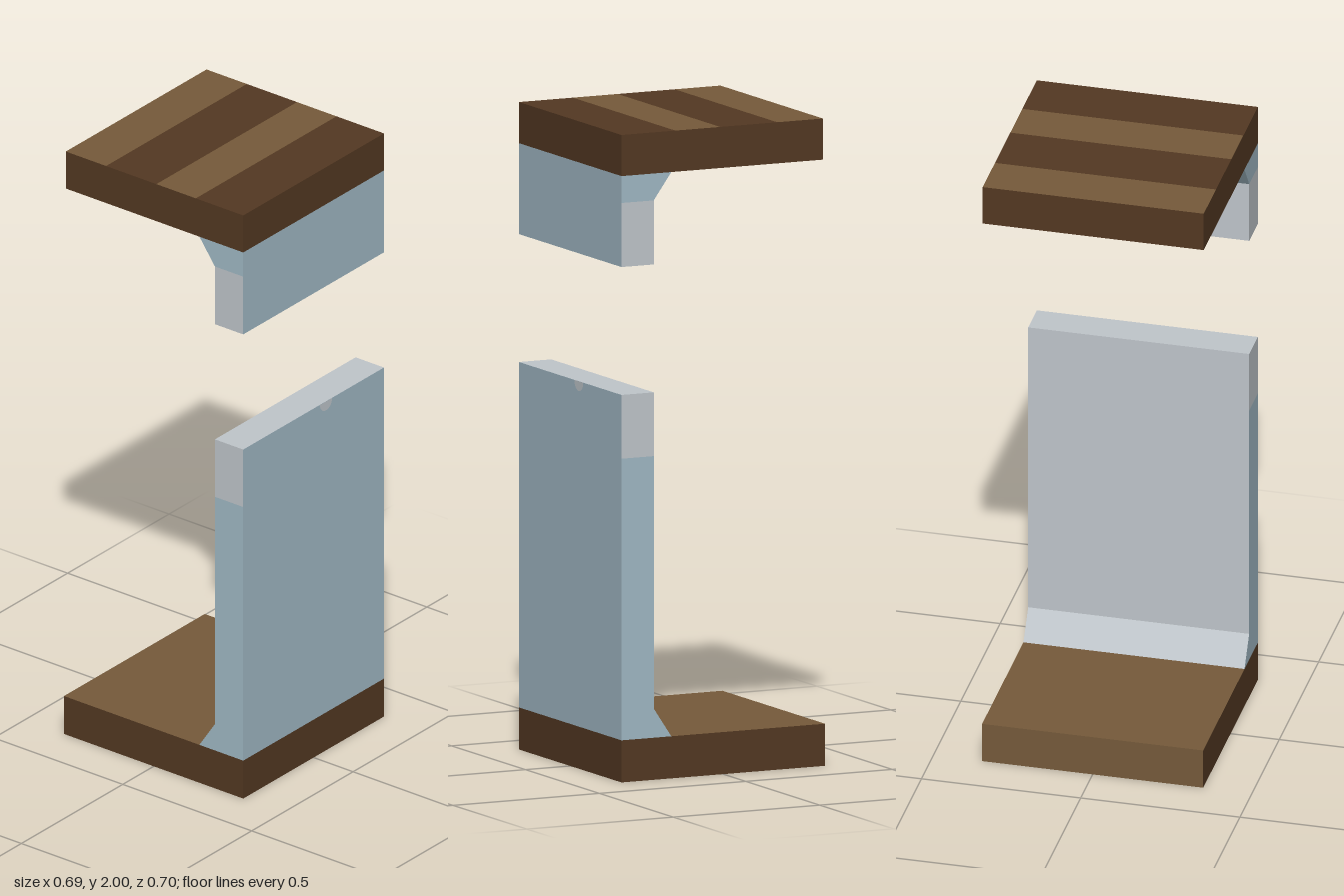
import * as THREE from 'three';

const HALF = 0.347; // half width and front depth

function material(name, color) {
  const m = new THREE.MeshStandardMaterial({ color });
  m.name = name;
  return m;
}

// Block across the full width. The back edge may differ at bottom and top,
// which gives a sloped back. Faces without a material are left out.
function block(name, [y0, y1], zFront, [zBackBottom, zBackTop], faces) {
  const box = new THREE.BoxGeometry(2, 2, 2);
  const pos = box.attributes.position;
  for (let i = 0; i < pos.count; i++) {
    const top = pos.getY(i) > 0;
    const back = top ? zBackTop : zBackBottom;
    pos.setXYZ(i, pos.getX(i) * HALF, top ? y1 : y0, pos.getZ(i) > 0 ? zFront : back);
  }
  box.computeVertexNormals();

  const source = Array.from(box.index.array);
  const order = ['side', 'side', 'top', 'bottom', 'front', 'back'];
  const index = [], materials = [];
  box.clearGroups();
  order.forEach((key, f) => {
    if (!faces[key]) return;
    box.addGroup(index.length, 6, materials.length);
    materials.push(faces[key]);
    index.push(...source.slice(f * 6, f * 6 + 6));
  });
  box.setIndex(index);

  const mesh = new THREE.Mesh(box, materials);
  mesh.name = name;
  return mesh;
}

export function createModel() {
  const model = new THREE.Group();
  model.name = 'wallSection';

  const dark = material('darkWood', 0x533822);
  const light = material('lightWood', 0x755a3a);
  const blue = material('paleBlue', 0xa0b8c4);
  const grey = material('paleGrey', 0xbfc5ca);

  const inner = 0.237, foot = 0.177; // inner wall face, sloped foot

  // Floor slab
  model.add(block('floor', [0, 0.13], HALF, [-0.348, -0.348],
    { side: dark, top: light, bottom: dark, front: dark, back: light }));

  // Lower wall: sloped foot, main panel, cap
  model.add(block('wallFoot', [0.13, 0.22], HALF, [foot, inner],
    { side: blue, front: blue, back: grey }));
  model.add(block('wallPanel', [0.22, 1.0], HALF, [inner, inner],
    { side: blue, front: blue, back: grey }));
  model.add(block('wallCap', [1.0, 1.197], HALF, [inner, inner],
    { side: grey, top: grey, front: blue, back: grey }));

  // Small half-round mark at the top of the wall front
  const mark = new THREE.Mesh(new THREE.CircleGeometry(0.03, 16, Math.PI, Math.PI), grey);
  mark.name = 'wallMark';
  mark.position.set(0.06, 1.197, HALF + 0.001);
  model.add(mark);

  // Upper wall hanging from the roof
  model.add(block('upperWallPanel', [1.592, 1.79], HALF, [inner, inner],
    { side: grey, bottom: grey, front: blue, back: grey }));
  model.add(block('upperWallHaunch', [1.79, 1.873], HALF, [inner, foot],
    { side: blue, front: blue, back: blue }));

  // Roof slab in four planks of alternating wood
  const edges = [HALF, 0.163, 0.01, -0.185, -0.341];
  for (let i = 0; i < 4; i++) {
    model.add(block('roofPlank' + (i + 1), [1.873, 2], edges[i], [edges[i + 1], edges[i + 1]], {
      side: dark,
      top: i % 2 ? light : dark,
      bottom: blue,
      front: i === 0 ? dark : null,
      back: i === 3 ? dark : null,
    }));
  }
  return model;
}
